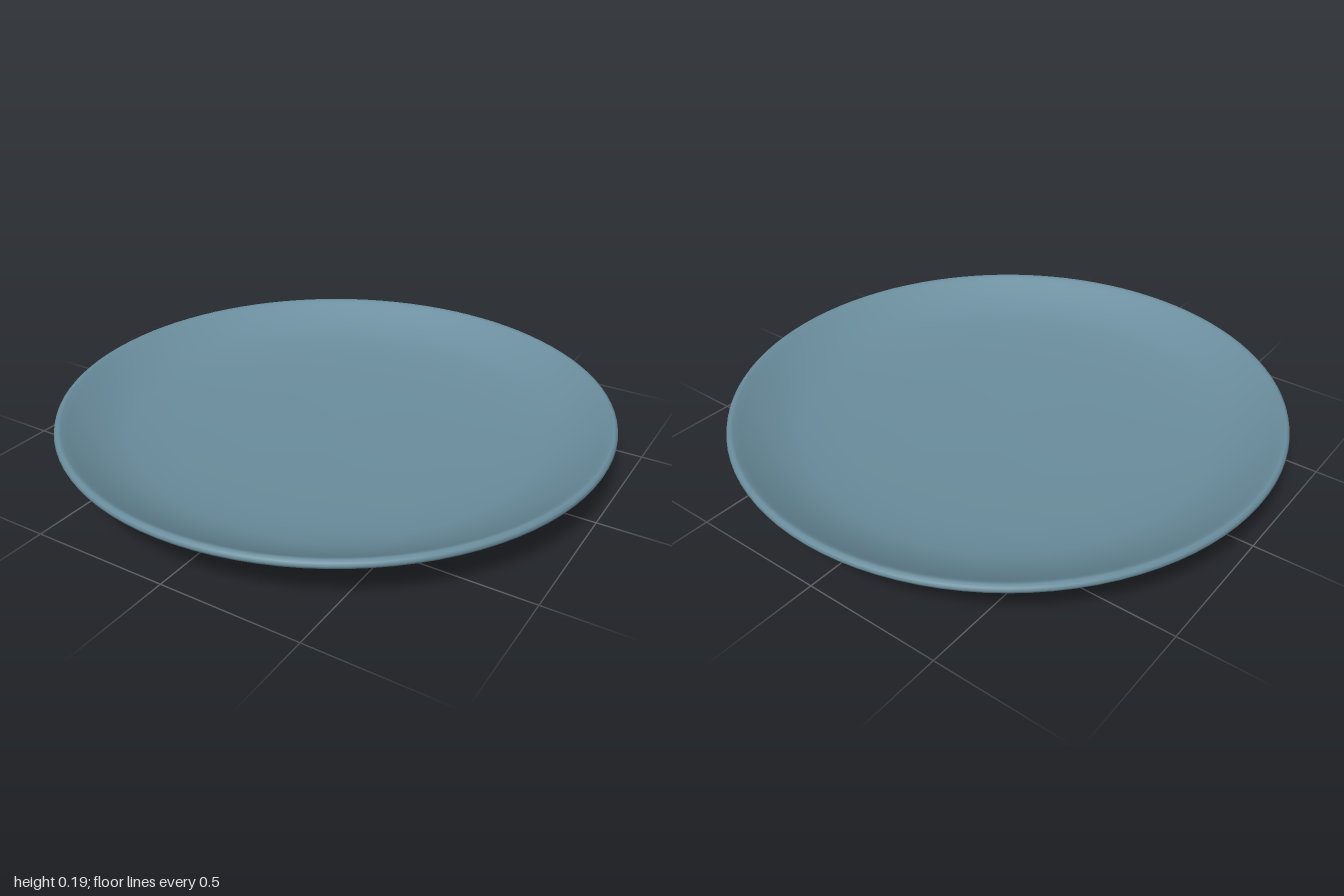
import * as THREE from 'three';

const glaze = new THREE.MeshStandardMaterial({ color: 0x6b8e9e });
glaze.name = 'blue grey glaze';

// Revolve a profile of [radius, height] points around the y axis
function turned(name, points) {
  const profile = points.map(([r, y]) => new THREE.Vector2(r, y));
  const mesh = new THREE.Mesh(new THREE.LatheGeometry(profile, 96), glaze);
  mesh.name = name;
  return mesh;
}

export function createModel() {
  const plate = new THREE.Group();
  plate.name = 'plate';

  // Shallow recess inside the foot ring
  plate.add(turned('underside', [[0, 0.03], [0.3, 0.029], [0.52, 0.024], [0.62, 0.013], [0.655, 0]]));

  // Narrow foot ring the plate stands on
  plate.add(turned('footBase', [[0.655, 0], [0.667, 0]]));
  plate.add(turned('footWall', [[0.667, 0], [0.672, 0.018], [0.683, 0.034]]));

  // Flared outer wall, rounded lip and gently dished top in one smooth skin
  plate.add(turned('dish', [
    [0.683, 0.034], [0.76, 0.054], [0.845, 0.076], [0.92, 0.116], [0.975, 0.148],
    [0.996, 0.163], [1, 0.172], [0.997, 0.183], [0.987, 0.189], [0.974, 0.186],
    [0.955, 0.174], [0.9, 0.145], [0.83, 0.114], [0.75, 0.092], [0.6, 0.077],
    [0.35, 0.068], [0, 0.064],
  ]));

  return plate;
}
